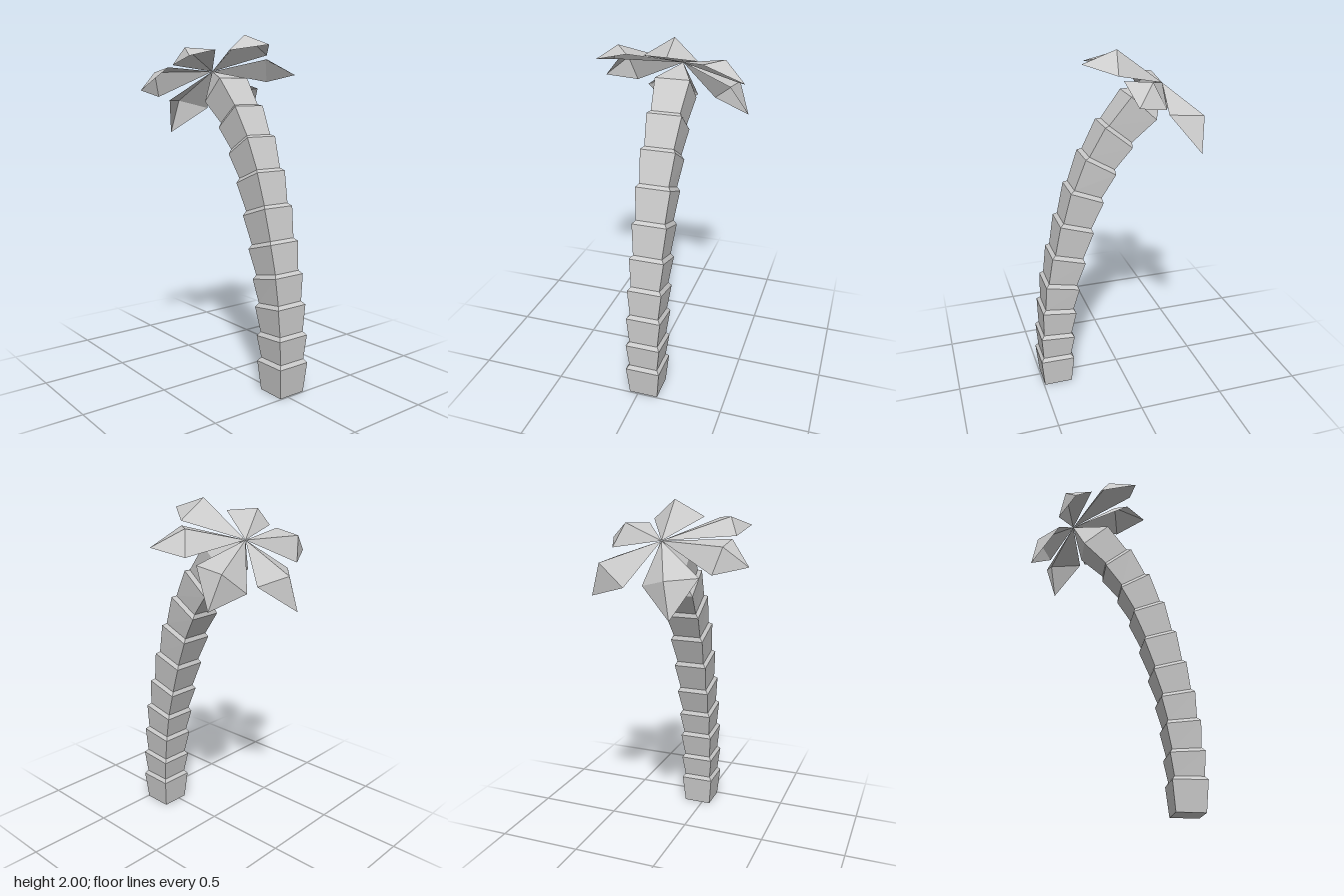
import * as THREE from 'three';

const CENTRE_X = 0.033;
const CROWN = [CENTRE_X, 1.8, -0.255];

// Trunk joints from the ground up: z, y and backward tilt in degrees.
const JOINTS = [
  [0.41, 0.173, 1], [0.403, 0.327, 4.5], [0.387, 0.496, 7.5], [0.363, 0.66, 12],
  [0.322, 0.833, 16], [0.27, 1.021, 18], [0.207, 1.207, 22], [0.127, 1.38, 31],
  [0.024, 1.538, 39], [-0.117, 1.69, 43],
];

// Leaf corners: one side, ridge, other side, tip.
const LEAVES = {
  frontLeaf: [[-0.09, 1.905, 0.077], [0.065, 2, 0.017], [0.204, 1.888, 0.05], [0.083, 1.936, 0.214]],
  frontLeftLeaf: [[0.223, 1.867, 0.028], [0.317, 1.873, -0.095], [0.374, 1.74, -0.152], [0.452, 1.78, 0.023]],
  backLeftLeaf: [[0.328, 1.7, -0.184], [0.344, 1.685, -0.375], [0.19, 1.565, -0.407], [0.409, 1.5, -0.343]],
  backLeaf: [[0.089, 1.58, -0.389], [-0.067, 1.625, -0.475], [-0.212, 1.63, -0.351], [-0.108, 1.43, -0.507]],
  backRightLeaf: [[-0.282, 1.65, -0.36], [-0.328, 1.79, -0.327], [-0.33, 1.815, -0.173], [-0.452, 1.687, -0.273]],
  frontRightLeaf: [[-0.336, 1.825, -0.117], [-0.288, 1.92, -0.066], [-0.185, 1.905, 0.079], [-0.36, 1.867, 0.087]],
};

// Flat-shaded mesh from a list of corner triples.
function facetMesh(name, corners, side = THREE.FrontSide) {
  const geometry = new THREE.BufferGeometry();
  geometry.setAttribute('position', new THREE.Float32BufferAttribute(corners.flat(), 3));
  geometry.computeVertexNormals();
  const material = new THREE.MeshStandardMaterial({ color: 0xcccccc, flatShading: true, side });
  const mesh = new THREE.Mesh(geometry, material);
  mesh.name = name;
  return mesh;
}

// Square ring across the trunk, shifted along its axis.
function squareRing([z, y, degrees], half, shift = 0) {
  const t = THREE.MathUtils.degToRad(degrees);
  const s = Math.sin(t), c = Math.cos(t);
  return [[1, 1], [1, -1], [-1, -1], [-1, 1]].map(([u, v]) => [
    CENTRE_X + u * half,
    y + shift * c + v * half * s,
    z - shift * s + v * half * c,
  ]);
}

function createTrunk() {
  // Each segment flares to a wide rim, then steps in to the next one.
  const rings = [squareRing([0.41, 0, 0], 0.084)];
  JOINTS.forEach((joint, i) => {
    rings.push(squareRing(joint, 0.1));
    if (i < JOINTS.length - 1) rings.push(squareRing(joint, 0.084, 0.021));
  });

  const corners = [];
  for (let r = 0; r < rings.length - 1; r++) {
    for (let i = 0; i < 4; i++) {
      const j = (i + 1) % 4;
      const a = rings[r][i], b = rings[r][j], c = rings[r + 1][j], d = rings[r + 1][i];
      corners.push(a, b, c, a, c, d);
    }
  }

  // Base and pointed top
  const base = rings[0], top = rings[rings.length - 1];
  corners.push(base[0], base[2], base[1], base[0], base[3], base[2]);
  for (let i = 0; i < 4; i++) corners.push(top[i], top[(i + 1) % 4], CROWN);
  return facetMesh('trunk', corners);
}

// Folded leaf: two long faces from the crown and two short ones to the tip.
function createLeaf(name, [sideA, ridge, sideB, tip]) {
  return facetMesh(name, [
    CROWN, sideA, ridge, CROWN, ridge, sideB,
    sideA, tip, ridge, ridge, tip, sideB,
  ], THREE.DoubleSide);
}

export function createModel() {
  const palm = new THREE.Group();
  palm.name = 'palmTree';
  palm.add(createTrunk());

  const crown = new THREE.Group();
  crown.name = 'leaves';
  for (const [name, points] of Object.entries(LEAVES)) crown.add(createLeaf(name, points));
  palm.add(crown);
  return palm;
}
